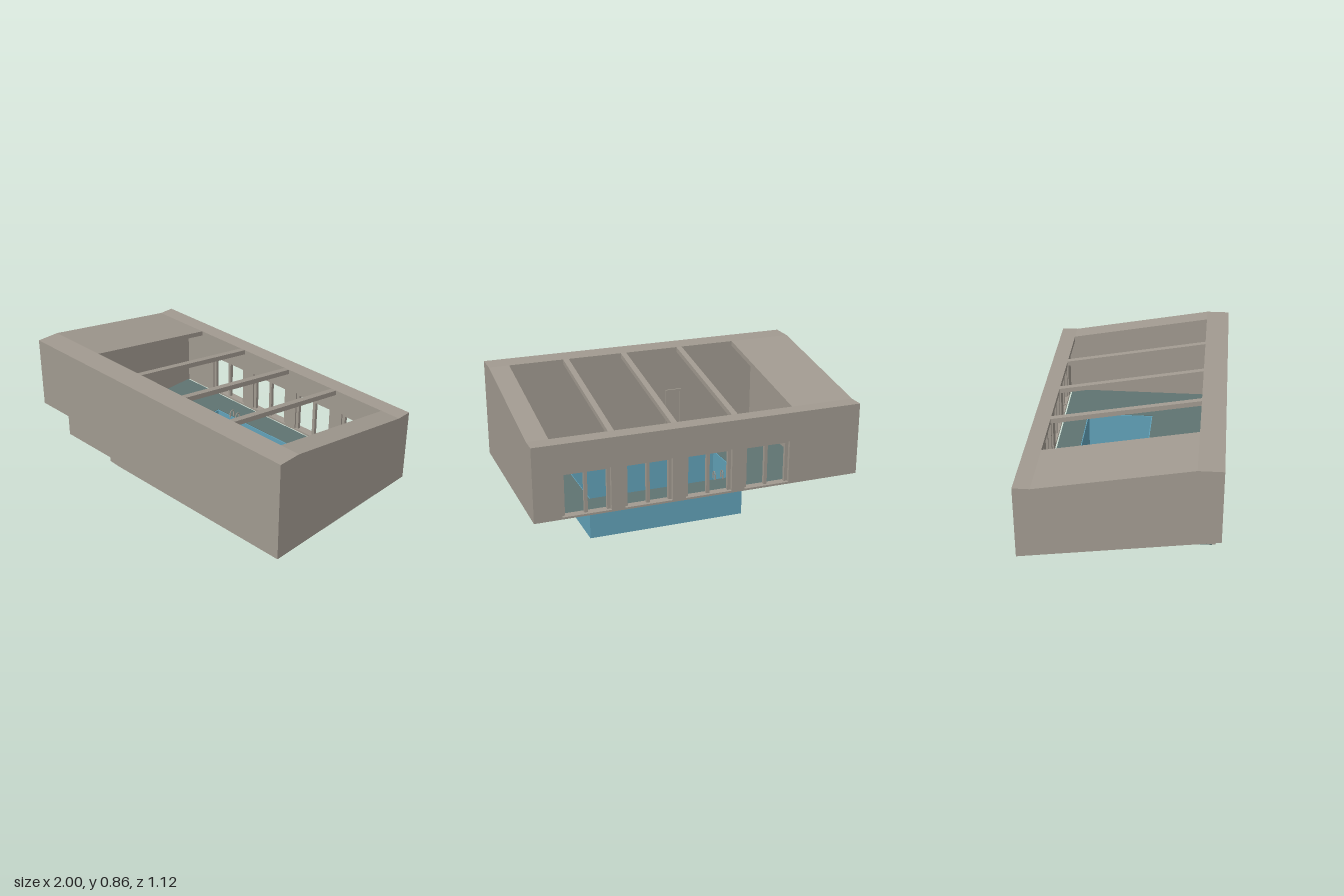
import * as THREE from 'three';

export function createModel() {
  const root = new THREE.Group();
  root.name = 'poolHall';
  const mat = (name, color) => {
    const m = new THREE.MeshStandardMaterial({ color });
    m.name = name;
    return m;
  };
  const wall = mat('wallGrey', 0xa19a90);
  const floorMat = mat('floorTeal', 0x5f7371);
  const poolMat = mat('poolBlue', 0x62a2b9);

  const add = (name, geo, m, parent = root) => {
    const mesh = new THREE.Mesh(geo, m);
    mesh.name = name;
    parent.add(mesh);
    return mesh;
  };
  const group = (name) => {
    const g = new THREE.Group();
    g.name = name;
    root.add(g);
    return g;
  };
  // Box given by its limits on each axis
  const box = (name, x0, x1, y0, y1, z0, z1, m, parent) => {
    const g = new THREE.BoxGeometry(x1 - x0, y1 - y0, z1 - z0);
    g.translate((x0 + x1) / 2, (y0 + y1) / 2, (z0 + z1) / 2);
    return add(name, g, m, parent);
  };
  const shapeOf = (pts) => new THREE.Shape(pts.map(([a, b]) => new THREE.Vector2(a, b)));
  const rectPath = (a0, b0, a1, b1) => new THREE.Path(
    [[a0, b0], [a0, b1], [a1, b1], [a1, b0]].map(([a, b]) => new THREE.Vector2(a, b)));
  const extrude = (shape, depth) => new THREE.ExtrudeGeometry(shape, { depth, bevelEnabled: false });
  // Extrude a (z, y) section along x
  const alongX = (name, pts, x0, x1, parent) => {
    const g = extrude(shapeOf(pts), x1 - x0);
    g.rotateY(-Math.PI / 2);
    g.translate(x1, 0, 0);
    return add(name, g, wall, parent);
  };

  // Main dimensions
  const base = 0.25, T = 0.03;
  const zf = 0.56, zb = -0.56, zs0 = 0.418, zs1 = -0.463;
  const yHigh = 0.855, yLow = 0.695;
  const roofLine = [[zf, yHigh], [zs0, yHigh], [zs1, yLow], [zb, yLow]];

  // Gable ends: one straight, one following the rising ground
  alongX('leftEndWall', [[zb, base], [zf, base], ...roofLine], 0.95, 1);
  alongX('rightEndWall', [[zb, base], [zf, 0.41], ...roofLine], -1, -0.98);

  // Front wall with its stepped lower edge
  const front = extrude(shapeOf([
    [-0.98, 0.41], [-0.7, 0.41], [-0.37, 0.285], [-0.37, 0.255], [-0.29, base],
    [0.95, base], [0.95, yHigh - T], [-0.98, yHigh - T]]), 0.03);
  front.translate(0, 0, zf - 0.03);
  add('frontWall', front, wall);

  // Back wall with four window openings
  const backShape = shapeOf([[-0.98, base], [0.95, base], [0.95, yLow - T], [-0.98, yLow - T]]);
  const winX = [0, 1, 2, 3].map((i) => -0.545 + i * 0.366);
  const winW = 0.285, winY0 = 0.262, winY1 = 0.52;
  winX.forEach((x) => backShape.holes.push(rectPath(x, winY0, x + winW, winY1)));
  const back = extrude(backShape, 0.05);
  back.translate(0, 0, zb);
  add('backWall', back, wall);

  // Window frames: jambs, centre mullion and a top rail
  const frames = group('windowFrames');
  winX.forEach((x) => {
    const b = 0.02;
    [x, x + winW / 2 - b / 2, x + winW - b].forEach((px) =>
      box('windowPost', px, px + b, winY0, winY1, -0.54, -0.52, wall, frames));
    box('windowHead', x, x + winW, winY1 - 0.015, winY1, -0.54, -0.52, wall, frames);
  });

  // Roof: end strips, eaves, and beams across the open middle
  const band = (pts, t) => [...pts.map(([z, y]) => [z, y - t]).reverse(), ...pts];
  const slope = [[zs0, yHigh], [zs1, yLow]];
  const roof = group('roof');
  alongX('roofStripRight', band(roofLine, T), -0.98, -0.6, roof);
  alongX('roofStripLeft', band(roofLine, T), 0.875, 0.95, roof);
  box('frontEave', -0.6, 0.875, yHigh - T, yHigh, zs0, zf, wall, roof);
  box('backEave', -0.6, 0.875, yLow - T, yLow, zb, zs1, wall, roof);
  [-0.25, 0.125, 0.5].forEach((x) => alongX('roofBeam', band(slope, T), x, x + 0.036, roof));

  // Inner lining of the hall
  const inner = group('innerWalls');
  alongX('hallEndWall', [[-0.51, base], [0.53, base], [0.53, yHigh - T],
    [zs0, yHigh - T], [zs1, yLow - T], [-0.51, yLow - T]], -0.8, -0.78, inner);
  box('innerFrontWall', -0.78, 0.95, base, yHigh - T, 0.5, 0.53, wall, inner);
  box('thickFrontWall', -0.09, 0.95, base + 0.004, yHigh - T, 0.44, 0.5, wall, inner);
  [[-0.28, -0.265], [-0.185, -0.17]].forEach(([a, b]) =>
    box('doorPost', a, b, base, 0.53, 0.49, 0.5, wall, inner));
  box('doorHead', -0.28, -0.17, 0.53, 0.545, 0.49, 0.5, wall, inner);

  // Sloping underside of the side passage
  alongX('passageSoffit', [[0.07, 0.34], [0.53, 0.406], [0.53, 0.416], [0.07, 0.35]], -0.98, -0.8);

  // Floor with the pool cut out
  const px0 = -0.34, px1 = 0.62, pz0 = -0.352, pz1 = 0.08;
  const floorShape = shapeOf([[-0.8, -0.51], [0.95, -0.51], [0.95, 0.5], [-0.8, 0.5]]);
  floorShape.holes.push(rectPath(px0, -pz1, px1, -pz0));
  const floor = extrude(floorShape, 0.006);
  floor.rotateX(-Math.PI / 2);
  floor.scale(1, 1, 1);
  floor.translate(0, 0.247, 0);
  add('floor', floor, floorMat);

  // Empty pool basin and its side pipe
  const pool = group('pool');
  const w = 0.006;
  box('poolBottom', px0, px1, 0, w, pz0, pz1, poolMat, pool);
  box('poolSide', px0, px0 + w, w, base, pz0, pz1, poolMat, pool);
  box('poolSide', px1 - w, px1, w, base, pz0, pz1, poolMat, pool);
  box('poolBack', px0 + w, px1 - w, w, base, pz0, pz0 + w, poolMat, pool);
  box('poolFront', px0 + w, px1 - w, w, base, pz1 - w, pz1, poolMat, pool);
  const pipe = new THREE.CylinderGeometry(0.009, 0.009, 0.05, 12);
  pipe.rotateZ(Math.PI / 2);
  pipe.translate(-0.362, 0.22, -0.32);
  add('poolPipe', pipe, poolMat, pool);

  // Ladder handrails
  [-0.21, -0.16].forEach((x) => {
    const rail = new THREE.TorusGeometry(0.016, 0.003, 6, 12, Math.PI);
    rail.rotateY(Math.PI / 2);
    rail.translate(x, 0.285, -0.345);
    add('handrail', rail, wall, pool);
    [-0.361, -0.329].forEach((z) =>
      box('handrailLeg', x - 0.003, x + 0.003, 0.253, 0.285, z - 0.003, z + 0.003, wall, pool));
  });

  return root;
}
